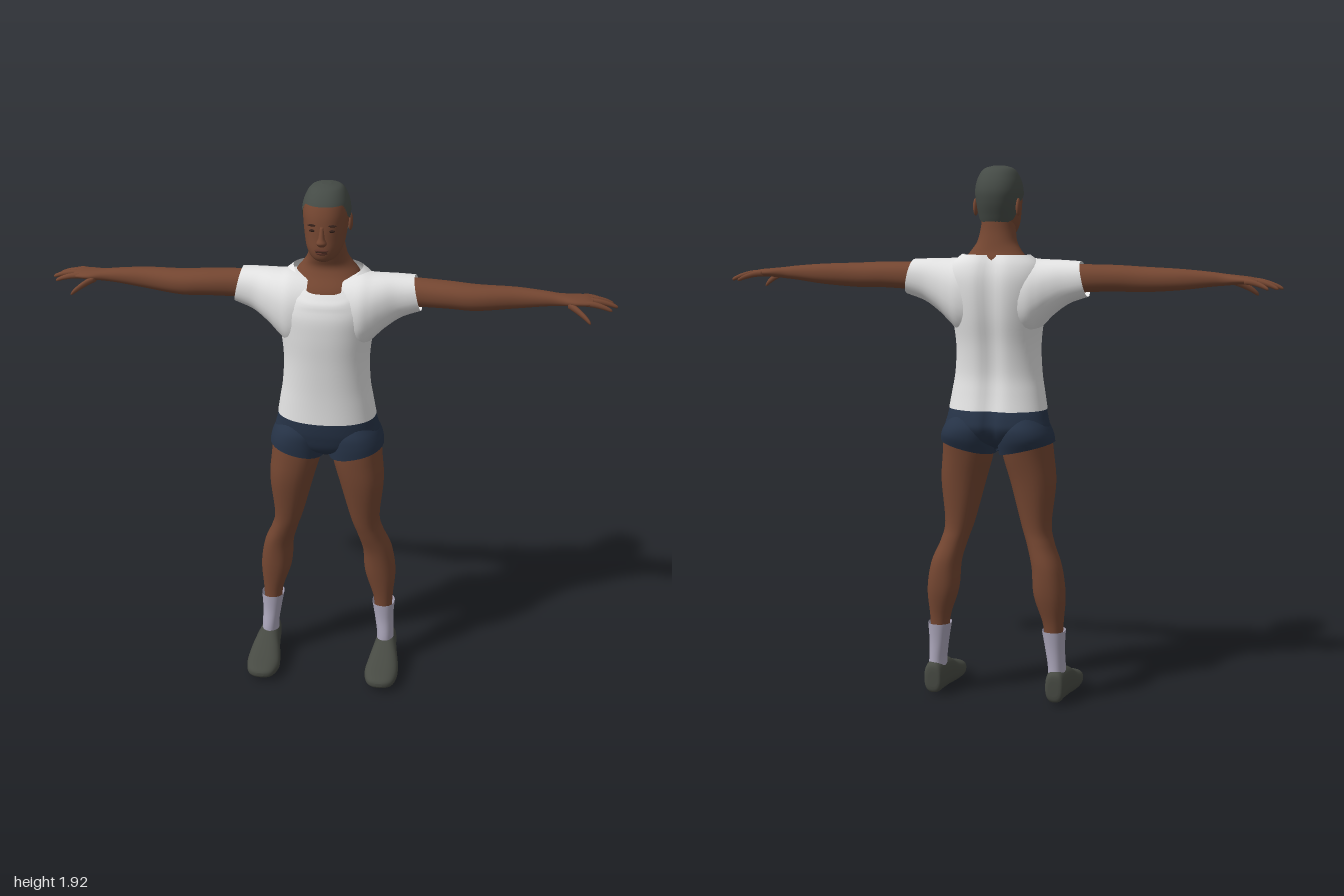
import * as THREE from 'three';

const paint = (name, color, side = THREE.FrontSide) => {
  const m = new THREE.MeshStandardMaterial({ color, side });
  m.name = name;
  return m;
};

// Smooth value of a list of sections at position u
function sample(secs, u) {
  const i = Math.min(Math.floor(u), secs.length - 2), f = u - i;
  const at = k => secs[Math.max(0, Math.min(secs.length - 1, k))];
  return secs[i].map((p1, c) => {
    const p0 = at(i - 1)[c], p2 = at(i + 1)[c], p3 = at(i + 2)[c];
    return p1 + 0.5 * f * (p2 - p0 + f * (2 * p0 - 5 * p1 + 4 * p2 - p3 + f * (3 * (p1 - p2) + p3 - p0)));
  });
}

// Skin over rounded sections [t, aMin, aMax, bMin, bMax]; (a, b) is (z, x), (y, z) or (x, y) for axis y, x or z
function loft(axis, secs, { seg = 32, sub = 5, n = 2.2, cap = true, warp, keep } = {}) {
  const pos = [], idx = [], rows = (secs.length - 1) * sub;
  const add = (t, a, b) => {
    const p = axis === 'y' ? [b, t, a] : axis === 'x' ? [t, a, b] : [a, b, t];
    const v = new THREE.Vector3(...p);
    if (warp) warp(v);
    pos.push(v.x, v.y, v.z);
  };
  const round = v => Math.sign(v) * Math.abs(v) ** (2 / n);
  for (let i = 0; i <= rows; i++) {
    const [t, a0, a1, b0, b1] = sample(secs, i / sub);
    for (let j = 0; j < seg; j++) {
      const th = j / seg * Math.PI * 2;
      add(t, (a0 + a1) / 2 + (a1 - a0) / 2 * round(Math.cos(th)), (b0 + b1) / 2 + (b1 - b0) / 2 * round(Math.sin(th)));
    }
  }
  const tri = (...f) => {
    const mid = k => f.reduce((s, v) => s + pos[v * 3 + k], 0) / 3;
    if (!keep || keep(mid(0), mid(1), mid(2))) idx.push(...f);
  };
  for (let i = 0; i < rows; i++) for (let j = 0; j < seg; j++) {
    const a = i * seg + j, b = i * seg + (j + 1) % seg;
    tri(a, b, b + seg);
    tri(a, b + seg, a + seg);
  }
  if (cap) for (const end of [0, 1]) {
    const [t, a0, a1, b0, b1] = secs[end * (secs.length - 1)], c = pos.length / 3, o = end * rows * seg;
    add(t, (a0 + a1) / 2, (b0 + b1) / 2);
    for (let j = 0; j < seg; j++) {
      const p = o + j, q = o + (j + 1) % seg;
      end ? tri(c, p, q) : tri(c, q, p);
    }
  }
  const g = new THREE.BufferGeometry();
  g.setAttribute('position', new THREE.Float32BufferAttribute(pos, 3));
  g.setIndex(idx);
  g.computeVertexNormals();
  return g;
}

// Mirror image across x = 0
function mirror(g) {
  const m = g.clone().scale(-1, 1, 1), ix = m.index.array;
  for (let i = 0; i < ix.length; i += 3) [ix[i], ix[i + 1]] = [ix[i + 1], ix[i]];
  m.computeVertexNormals();
  return m;
}

// Tapered finger running outward along x
function finger([x0, y0, z0], [x1, y1, z1], r) {
  const parts = [[0, 1], [0.35, 1.05], [0.7, 0.9], [0.93, 0.65], [1, 0.2]];
  return loft('x', parts.map(([f, k]) => {
    const y = y0 + (y1 - y0) * f + 0.006 * Math.sin(f * Math.PI), z = z0 + (z1 - z0) * f;
    return [x0 + (x1 - x0) * f, y - r * k, y + r * k, z - r * k, z + r * k];
  }), { seg: 12, sub: 3 });
}

const blob = (x, y, z, sx, sy, sz) => new THREE.SphereGeometry(1, 20, 14).scale(sx, sy, sz).translate(x, y, z);
const sym = rows => rows.map(([y, z0, z1, w]) => [y, z0, z1, -w, w]);
const bump = (x, w) => Math.exp(-((x / w) ** 2));

export function createModel() {
  const model = new THREE.Group();
  model.name = 'figure';
  const skin = paint('skin brown', 0x744631), hair = paint('hair grey', 0x454b46, THREE.DoubleSide);
  const white = paint('shirt white', 0xe2e2e2, THREE.DoubleSide), navy = paint('shorts navy', 0x263347, THREE.DoubleSide);
  const sock = paint('sock lilac', 0xaaa5b9, THREE.DoubleSide), shoe = paint('shoe grey', 0x474a43);
  const dark = paint('feature dark', 0x35211a), lip = paint('lip brown', 0x5c3328);
  const put = (name, g, m) => {
    const mesh = new THREE.Mesh(g, m);
    mesh.name = name;
    model.add(mesh);
  };
  const pair = (name, g, m) => {
    put('left' + name, g, m);
    put('right' + name, mirror(g), m);
  };

  // Head and neck
  const skull = sym([[1.676, 0.005, 0.07, 0.022], [1.69, -0.06, 0.09, 0.047], [1.72, -0.09, 0.097, 0.063],
    [1.76, -0.108, 0.094, 0.071], [1.8, -0.121, 0.091, 0.076], [1.84, -0.125, 0.084, 0.078],
    [1.88, -0.112, 0.066, 0.069], [1.908, -0.083, 0.033, 0.048], [1.92, -0.035, -0.005, 0.012]]);
  put('head', loft('y', skull, { seg: 48 }), skin);
  put('neck', loft('y', sym([[1.48, -0.13, 0.06, 0.15], [1.55, -0.135, 0.048, 0.13], [1.6, -0.135, 0.012, 0.112],
    [1.63, -0.122, 0, 0.09], [1.66, -0.113, 0.01, 0.071], [1.7, -0.104, 0.025, 0.062], [1.74, -0.1, 0.03, 0.056]])), skin);

  // Close-cropped hair following the skull, cut along a hairline
  const line = [[-0.2, 1.715], [-0.1, 1.718], [-0.06, 1.74], [-0.035, 1.8], [0.02, 1.825], [0.04, 1.868], [0.2, 1.876]];
  const hairline = z => {
    const k = line.findIndex(p => p[0] > z), [z0, y0] = line[k - 1], [z1, y1] = line[k];
    return y0 + (y1 - y0) * (z - z0) / (z1 - z0);
  };
  put('hair', loft('y', skull.map(([y, a, b, c, d], i) => [y + (i > 6 ? 0.005 : 0), a - 0.004, b + 0.004, c - 0.004, d + 0.004]),
    { seg: 128, sub: 14, keep: (x, y, z) => y > hairline(z) }), hair);

  // Face
  put('nose', loft('y', sym([[1.737, 0.07, 0.098, 0.012], [1.75, 0.075, 0.113, 0.018], [1.768, 0.075, 0.107, 0.011],
    [1.805, 0.07, 0.094, 0.007]]), { seg: 20 }), skin);
  put('upperLip', blob(0, 1.724, 0.094, 0.024, 0.005, 0.008), lip);
  put('lowerLip', blob(0, 1.714, 0.093, 0.02, 0.006, 0.008), lip);
  put('mouthLine', blob(0, 1.719, 0.098, 0.022, 0.0015, 0.004), dark);
  pair('Ear', blob(0.077, 1.783, -0.02, 0.009, 0.031, 0.017).rotateX(-0.02), skin);
  pair('Eye', blob(0.031, 1.79, 0.083, 0.013, 0.005, 0.005), dark);
  pair('Brow', blob(0.032, 1.808, 0.082, 0.018, 0.0035, 0.006), dark);

  // Shirt body: scooped neckline and a hollow along the spine
  put('shirtBody', loft('y', sym([[1.07, -0.165, 0.09, 0.178], [1.13, -0.152, 0.088, 0.168], [1.2, -0.143, 0.088, 0.157],
    [1.3, -0.15, 0.092, 0.153], [1.4, -0.167, 0.098, 0.165], [1.48, -0.174, 0.095, 0.18], [1.54, -0.172, 0.068, 0.18],
    [1.585, -0.16, 0.035, 0.16], [1.618, -0.142, 0.01, 0.122]]), {
    seg: 64, cap: false, warp: v => {
      const scoop = THREE.MathUtils.smoothstep(v.z, -0.06, 0.01) * Math.exp(-((v.x / 0.115) ** 4)) * Math.max(0, (v.y - 1.5) / 0.118);
      if (v.z < -0.08) v.z += 0.018 * bump(v.x, 0.035);
      v.y -= 0.065 * scoop;
      v.z += 0.05 * scoop;
    } }), white);
  pair('Sleeve', loft('x', [[0.06, 1.33, 1.6, -0.15, 0.07], [0.12, 1.33, 1.605, -0.155, 0.075], [0.16, 1.365, 1.602, -0.147, 0.062],
    [0.2, 1.41, 1.601, -0.135, 0.042], [0.25, 1.45, 1.6, -0.124, 0.018], [0.315, 1.474, 1.597, -0.12, 0.004]], {
    cap: false, warp: v => { v.x += (1.54 - v.y) * 0.22 * THREE.MathUtils.smoothstep(v.x, 0.15, 0.31); } }), white);

  // Arms, palms and fingers
  pair('Arm', loft('x', [[0.2, 1.48, 1.58, -0.11, 0], [0.3, 1.488, 1.586, -0.11, -0.004], [0.42, 1.493, 1.585, -0.1, 0.01],
    [0.52, 1.492, 1.58, -0.092, 0.012], [0.65, 1.502, 1.575, -0.092, -0.014], [0.75, 1.515, 1.567, -0.084, -0.023],
    [0.8, 1.52, 1.561, -0.083, -0.023], [0.85, 1.525, 1.556, -0.1, -0.012], [0.89, 1.526, 1.552, -0.108, -0.017],
    [0.915, 1.528, 1.546, -0.1, -0.026]]), skin);
  const tips = [[[0.87, 1.538, -0.096], [0.955, 1.515, -0.13]], [[0.89, 1.54, -0.08], [0.986, 1.515, -0.107]],
    [[0.89, 1.54, -0.058], [1, 1.515, -0.075]], [[0.885, 1.539, -0.03], [0.98, 1.515, -0.036]],
    [[0.83, 1.533, -0.028], [0.91, 1.487, 0.02]]];
  tips.forEach(([a, b], i) => pair(['LittleFinger', 'RingFinger', 'MiddleFinger', 'IndexFinger', 'Thumb'][i],
    finger(a, b, i === 4 ? 0.012 : 0.0095), skin));

  // Shorts: hips with two short legs whose hems drop toward the crotch
  put('shortsHips', loft('y', sym([[0.915, -0.06, 0.01, 0.02], [0.95, -0.13, 0.055, 0.14], [1, -0.168, 0.072, 0.187],
    [1.04, -0.166, 0.078, 0.183], [1.085, -0.15, 0.08, 0.172]]), {
    seg: 64, warp: v => { if (v.z < -0.07) v.z += 0.022 * bump(v.x, 0.02); } }), navy);
  pair('ShortsLeg', loft('y', [[0.93, -0.15, 0.071, 0.008, 0.207], [0.97, -0.168, 0.074, 0.004, 0.203],
    [1.01, -0.167, 0.07, 0.006, 0.19], [1.05, -0.14, 0.05, 0.03, 0.16]], {
    cap: false, warp: v => { v.y += (v.x - 0.11) * 0.24 * THREE.MathUtils.clamp((1 - v.y) / 0.07, 0, 1); } }), navy);

  // Legs, socks and shoes
  pair('Leg', loft('y', [[0.24, -0.105, -0.022, 0.182, 0.247], [0.3, -0.11, -0.02, 0.174, 0.25], [0.4, -0.129, -0.01, 0.142, 0.257],
    [0.5, -0.13, 0, 0.134, 0.242], [0.58, -0.115, 0.018, 0.113, 0.21], [0.65, -0.108, 0.033, 0.09, 0.196],
    [0.8, -0.122, 0.06, 0.05, 0.21], [0.9, -0.138, 0.066, 0.022, 0.203], [0.98, -0.155, 0.064, 0.012, 0.195]]), skin);
  pair('Sock', loft('y', [[0.08, -0.112, -0.005, 0.192, 0.26], [0.13, -0.107, -0.005, 0.194, 0.256],
    [0.2, -0.107, -0.015, 0.184, 0.254], [0.268, -0.113, -0.015, 0.172, 0.258]], { cap: false }), sock);
  pair('Shoe', loft('z', [[-0.125, 0.208, 0.245, 0.035, 0.09], [-0.115, 0.195, 0.262, 0.01, 0.12], [-0.06, 0.188, 0.268, 0.005, 0.126],
    [0, 0.18, 0.278, 0.002, 0.118], [0.05, 0.17, 0.288, 0, 0.092], [0.1, 0.165, 0.29, 0.002, 0.073],
    [0.145, 0.176, 0.28, 0.01, 0.06], [0.165, 0.192, 0.262, 0.018, 0.051], [0.173, 0.215, 0.24, 0.028, 0.042]], { n: 2.5 }), shoe);
  return model;
}
